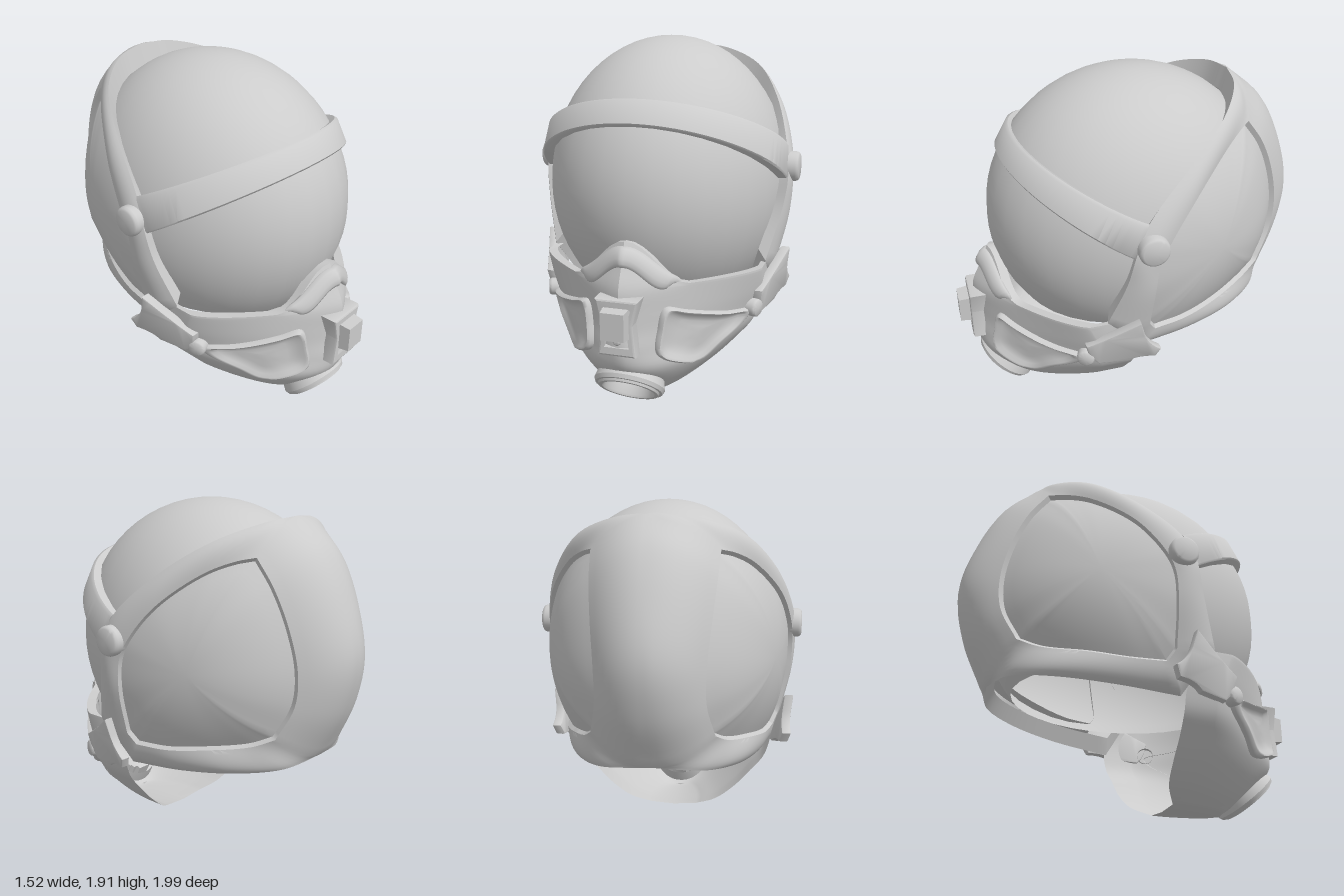
import * as THREE from 'three';
import { mergeGeometries, toCreasedNormals } from 'three/addons/utils/BufferGeometryUtils.js';

const V = (x, y, z) => new THREE.Vector3(x, y, z);
const CENTRE = V(0, 1.1, -0.05);
const MAT = new THREE.MeshStandardMaterial({ color: 0xcccccc, side: THREE.DoubleSide });

// Surface through rows of points, each row having the same count
function loft(rows) {
  const n = rows[0].length, idx = [];
  for (let r = 0; r < rows.length - 1; r++)
    for (let i = 0; i < n - 1; i++) {
      const a = r * n + i, b = a + n;
      idx.push(a, a + 1, b, a + 1, b + 1, b);
    }
  const g = new THREE.BufferGeometry().setFromPoints(rows.flat());
  g.setIndex(idx);
  return g;
}

// Refine rows with a spline down every column
function refine(rows, n) {
  const cols = rows[0].map((_, i) => new THREE.CatmullRomCurve3(rows.map(r => r[i])).getPoints(n));
  return cols[0].map((_, r) => cols.map(c => c[r]));
}

// Mirror a geometry across x = 0, keeping faces outward
function flipX(geo) {
  const g = geo.index ? geo.toNonIndexed() : geo.clone();
  const p = g.attributes.position, a = V(), b = V();
  for (let i = 0; i < p.count; i += 3) {
    a.fromBufferAttribute(p, i + 1); b.fromBufferAttribute(p, i + 2);
    p.setX(i, -p.getX(i));
    p.setXYZ(i + 1, -b.x, b.y, b.z);
    p.setXYZ(i + 2, -a.x, a.y, a.z);
  }
  return g;
}

const toCentre = (p, f) => CENTRE.clone().lerp(p, f);

// Side shell loops as [z, y, x], starting at the cheek and going up and back
const OUTER = [[.26, .74, .62], [.17, 1.02, .69], [.13, 1.2, .71], [.06, 1.36, .685], [-.18, 1.59, .585],
  [-.41, 1.755, .43], [-.56, 1.84, .2], [-.6, 1.86, 0], [-.78, 1.71, 0], [-.92, 1.45, 0], [-.995, 1.16, 0],
  [-.94, .88, 0], [-.8, .605, 0], [-.74, .58, .25], [-.55, .55, .4], [-.25, .515, .5], [.09, .485, .54]];
const INNER = [[.03, .7, .64], [.02, .95, .7], [0, 1.13, .71], [-.06, 1.25, .7], [-.2, 1.43, .64],
  [-.4, 1.6, .5], [-.52, 1.66, .4], [-.6, 1.68, .33], [-.7, 1.54, .32], [-.785, 1.34, .3], [-.83, 1.12, .28],
  [-.815, .94, .28], [-.73, .76, .32], [-.62, .71, .38], [-.4, .67, .5], [-.2, .64, .57], [-.01, .635, .61]];

// Closed loop of splines that keeps corners at the peak, nape and cheek
function ring(loop) {
  const pts = [...loop, loop[0]].map(([z, y, x]) => V(x, y, z)), out = [pts[0]];
  for (const [a, b] of [[0, 7], [7, 12], [12, 16], [16, 17]])
    out.push(...new THREE.CatmullRomCurve3(pts.slice(a, b + 1)).getPoints((b - a) * 6).slice(1));
  return out;
}

// Half width of the side glass at (y, z)
const glassX = (y, z) => .675 * Math.sqrt(Math.max(0, 1 - ((y - 1.13) / .93) ** 2 - ((z + .03) / .86) ** 2));

// Mask levels: [y, front z, rear z, half width]
const LEVELS = [[.03, .575, .22, .14], [.1, .68, .14, .27], [.2, .795, .115, .39], [.3, .885, .11, .48], [.4, .91, .1, .56],
  [.5, .9, .1, .595], [.6, .9, .14, .615], [.72, .9, .2, .62]];
// Section of the mask: blunt at the chin, wedge shaped at the nose
const bow = (u, y) => {
  const p = y < .4 ? 1.4 + (.4 - y) * 5 : 1.4 - (Math.min(y, .72) - .4) * .85;
  return .22 + .78 * Math.pow(Math.max(0, 1 - Math.pow(u, p)), .75);
};
const noseRise = x => Math.abs(x) < .32 ? .5 + .5 * Math.cos(Math.PI * x / .32) : 0;

// Front surface depth of the mask at (x, y)
function maskZ(x, y) {
  let i = 0;
  while (i < LEVELS.length - 2 && LEVELS[i + 1][0] < y) i++;
  const A = LEVELS[i], B = LEVELS[i + 1], t = Math.min(1, Math.max(0, (y - A[0]) / (B[0] - A[0])));
  const [zf, zr, w] = [1, 2, 3].map(k => A[k] + (B[k] - A[k]) * t);
  return zr + (zf - zr) * bow(Math.min(1, Math.abs(x) / w), y) - Math.max(0, y - .72) * .42;
}

export function createModel() {
  const model = new THREE.Group();
  const add = (name, geo, crease = .6) => {
    const m = new THREE.Mesh(toCreasedNormals(geo, crease), MAT);
    m.name = name;
    model.add(m);
  };
  const pair = (name, geo, crease) => {
    add(name + 'Left', geo, crease);
    add(name + 'Right', flipX(geo), crease);
  };

  // Dome, open underneath
  const dome = new THREE.SphereGeometry(1, 32, 22, 0, Math.PI * 2, 0, 2.26);
  dome.scale(.67, .8, .81).translate(0, 1.13, -.03);
  add('dome', dome, 1);

  // Rear shell: bulged frame between window loop and outer edge, with lips
  const outer = ring(OUTER), inner = ring(INNER);
  const control = inner.map((p, i) => {
    const mid = p.clone().lerp(outer[i], .5);
    return mid.addScaledVector(mid.clone().sub(CENTRE).normalize(), .25 * p.distanceTo(outer[i]));
  });
  const shellRows = [inner.map(p => toCentre(p, .9))];
  for (let k = 0; k <= 8; k++)
    shellRows.push(inner.map((p, i) => new THREE.QuadraticBezierCurve3(p, control[i], outer[i]).getPoint(k / 8)));
  shellRows.push(outer.map(p => V(p.x * .93, 1.1 + (p.y - 1.1) * .84, p.z * .94)));
  const half = loft(shellRows).toNonIndexed();
  add('rearShell', mergeGeometries([half, flipX(half)]), .7);

  // Side window panes following the dome
  const paneRows = [];
  for (let k = 0; k <= 12; k++) {
    const u = k / 12;
    paneRows.push(inner.map(p => {
      const e = toCentre(p, .965), q = e.clone().lerp(V(0, 1.1, -.38), u);
      q.x = glassX(q.y, q.z) + (e.x - glassX(e.y, e.z)) * (1 - u) ** 2;
      return q;
    }));
  }
  pair('sideWindow', loft(paneRows), 1);

  // Brow band from temple to temple
  const browRows = [];
  for (let i = 0; i <= 48; i++) {
    const a = (i / 48 - .5) * Math.PI, c = Math.pow(Math.max(0, Math.cos(a)), 1.2), s = Math.sin(a);
    const top = V(.685 * s, 1.36 + .28 * c, .06 + .56 * c), low = V(.7 * s, 1.18 + .335 * c, .14 + .555 * c);
    const hi = toCentre(top.clone().lerp(low, .1), 1.015), lo = toCentre(top.clone().lerp(low, .95), 1.012);
    browRows.push([toCentre(top, .9), top, hi, lo, low, toCentre(low, .9)]);
  }
  add('browBand', loft(browRows), .8);

  // Breathing mask: horizontal sections, a raised nose, a rolled top lip and a mouth recess
  const N = 48, front = [...Array(N + 1)].map((_, i) => Math.sin((i / N - .5) * Math.PI));
  const section = ([y, zf, zr, w]) => [[-1, 0], [-1, .11], ...front.map(u => [u, bow(Math.abs(u), y)]), [1, .11], [1, 0]]
    .map(([u, v]) => V(u * w, y, zr + (zf - zr) * v));
  const maskRows = LEVELS.map(section);
  for (const k of [.5, 1])
    maskRows.push(section(LEVELS[7]).map(p => V(p.x, p.y + .01 * k + .22 * k * noseRise(p.x), p.z - .1 * k * noseRise(p.x))));
  const fine = refine(maskRows, 44), rim = fine[fine.length - 1];
  fine.unshift(fine[0].map(p => V(0, .02, p.z)));
  fine.push(rim.map(p => V(p.x * .95, p.y - .005, p.z - .05)));
  const mouth = V(0, .145, .755), mouthDir = V(0, -.74, .67).normalize();
  for (const p of fine.flat()) {
    const d = p.clone().sub(mouth), h = d.dot(mouthDir);
    if (Math.abs(h) < .12 && d.addScaledVector(mouthDir, -h).length() < .145) p.addScaledVector(mouthDir, -.1);
  }
  add('mask', loft(fine), .8);

  // Nose pad
  const padRows = [];
  for (let i = 0; i <= 32; i++) {
    const s = i / 16 - 1, x = .25 * s, y = .74 + .14 * (.5 + .5 * Math.cos(Math.PI * s)), r = .15 + .85 * Math.sqrt(1 - s ** 4);
    const z = maskZ(x, y);
    padRows.push([...Array(13)].map((_, j) => {
      const a = j / 12 * Math.PI * 2;
      return V(x * (1 + .1 * Math.sin(a)), y + .05 * r * Math.sin(a), z + .035 * r * Math.cos(a) - .02 * Math.sin(a));
    }));
  }
  add('nosePad', loft(padRows), 1.2);

  // Cheek pads: raised triangular rim around a dished centre
  const cheek = new THREE.CatmullRomCurve3([[.21, .61], [.3, .585], [.46, .53], [.55, .5], [.53, .45], [.43, .36], [.34, .29],
    [.26, .32], [.18, .38], [.18, .5]].map(([x, y]) => V(x, y, 0)), true).getPoints(60);
  const cheekRows = [[1.05, -.005], [1.03, .02], [.97, .033], [.9, .03], [.8, .01], [.5, .004], [.25, .006], [0, .008]]
    .map(([k, h]) => cheek.map(p => {
      const x = .34 + (p.x - .34) * k, y = .46 + (p.y - .46) * k;
      return V(x + h * .6, y, maskZ(x, y) + h * .8);
    }));
  pair('cheekPad', loft(cheekRows), 1);

  // Front clip: waisted frame, block and small latch
  const waist = k => [[-.11, .15], [.11, .15], [.075, .02], [.095, -.15], [-.095, -.15], [-.075, .02]]
    .map(([x, y]) => new THREE.Vector2(x * k, y * k));
  const clipShape = new THREE.Shape(waist(.92));
  clipShape.holes.push(new THREE.Path(waist(.68)));
  const clip = new THREE.ExtrudeGeometry(clipShape, { depth: .08, bevelSize: .012, bevelThickness: .012, bevelSegments: 2 });
  add('clipFrame', clip.translate(0, .54, .845), .4);
  const block = new THREE.CylinderGeometry(.075, .09, .13, 4, 1).rotateY(Math.PI / 4).rotateX(Math.PI / 2);
  add('clipBlock', block.scale(1.15, 1.35, 1).translate(0, .57, .932), .3);
  add('clipLatch', new THREE.SphereGeometry(.022, 16, 10).translate(0, .47, .925), 1);

  // Lathed parts turned to face a direction
  const turned = (points, dir, pos, seg = 32) => new THREE.LatheGeometry(points.map(([r, h]) => new THREE.Vector2(r, h)), seg)
    .applyQuaternion(new THREE.Quaternion().setFromUnitVectors(V(0, 1, 0), dir.normalize()))
    .translate(pos.x, pos.y, pos.z);

  // Chin nozzle
  add('chinNozzle', turned([[.165, -.1], [.18, -.05], [.19, -.01], [.18, .01], [.165, .01], [.16, .022], [.142, .022],
    [.134, .01], [.125, -.06], [0, -.06]], mouthDir, mouth, 48), .5);

  // Temple and cheek buttons
  const knob = (r, h) => [[r, -.03], [r, h * .6], [r * .93, h * .88], [r * .8, h], [0, h * 1.05]];
  pair('templeButton', turned(knob(.082, .05), V(1, 0, 0), V(.71, 1.23, .045)), .7);
  pair('cheekButton', turned(knob(.05, .045), V(.93, 0, .36), V(.57, .51, .37)), .7);

  // Cheek clasps: winged plates joining the mask to the shell
  const wing = new THREE.Shape();
  wing.moveTo(.37, .6);
  wing.quadraticCurveTo(.26, .66, .11, .77);
  wing.lineTo(.09, .69);
  wing.quadraticCurveTo(.07, .62, 0, .575);
  wing.lineTo(.02, .53);
  wing.quadraticCurveTo(.12, .53, .16, .49);
  wing.lineTo(.31, .475);
  wing.quadraticCurveTo(.36, .52, .37, .6);
  const clasp = new THREE.ExtrudeGeometry(wing, { depth: .035, bevelSize: .01, bevelThickness: .01, bevelSegments: 2, curveSegments: 8 });
  const cp = clasp.attributes.position;
  for (let i = 0; i < cp.count; i++) {
    const a = cp.getX(i), y = cp.getY(i), d = cp.getZ(i);
    cp.setXYZ(i, -(.585 + (.37 - a) * .25 + (y - .6) * .2 + d), y, a);
  }
  pair('cheekClasp', flipX(clasp), .5);

  return model;
}
